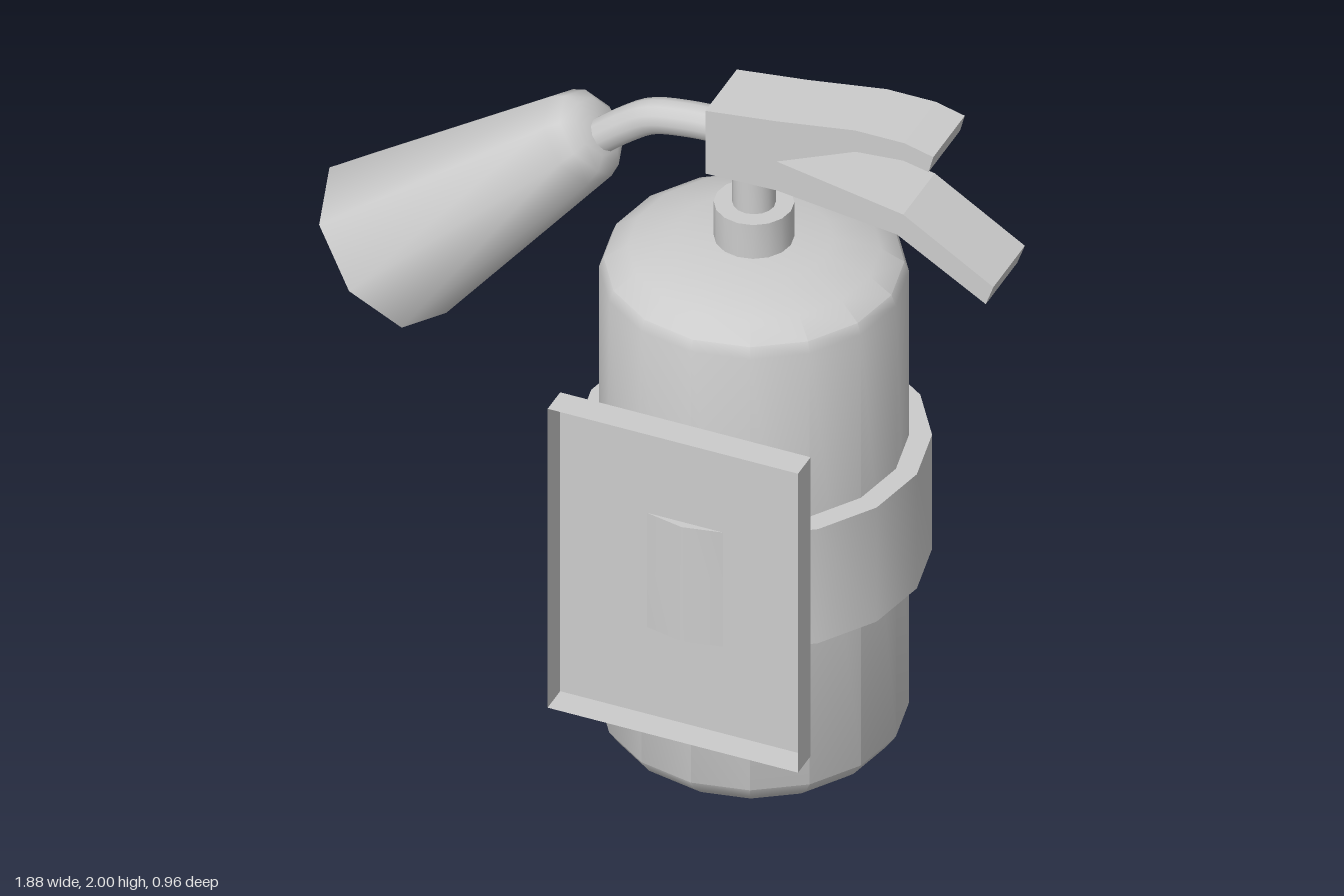
import * as THREE from 'three';
import { toCreasedNormals } from 'three/addons/utils/BufferGeometryUtils.js';

const CX = 0.231, CZ = -0.026; // axis of the cylinder

export function createModel() {
  const model = new THREE.Group();
  const material = new THREE.MeshStandardMaterial({ color: 0xcccccc });
  const thin = new THREE.MeshStandardMaterial({ color: 0xcccccc, side: THREE.DoubleSide });

  const add = (name, geometry, x, y, z, mat = material) => {
    const mesh = new THREE.Mesh(geometry, mat);
    mesh.name = name;
    mesh.position.set(x, y, z);
    model.add(mesh);
    return mesh;
  };
  const lathe = (points, sides, crease) => toCreasedNormals(
    new THREE.LatheGeometry(points.map(([r, y]) => new THREE.Vector2(r, y)), sides), crease);

  // Tank with a rounded foot and a shallow dome
  add('tank', lathe([
    [0, 0], [0.33, 0], [0.365, 0.03], [0.392, 0.07], [0.392, 1.41], [0.38, 1.44],
    [0.32, 1.48], [0.2, 1.51], [0, 1.52],
  ], 16, 0.65), CX, 0, CZ);

  // Strap ring around the tank
  add('strap', lathe([
    [0.385, 0.903], [0.385, 0.548], [0.45, 0.548], [0.45, 0.903], [0.385, 0.903],
  ], 16, 0.65), CX, 0, CZ);

  // Neck collar and valve stem
  add('collar', lathe([[0, 1.49], [0.102, 1.49], [0.102, 1.62], [0, 1.62]], 16, 0.65), CX, 0, CZ);
  add('stem', lathe([[0, 1.6], [0.055, 1.6], [0.055, 1.76], [0, 1.76]], 16, 0.65), CX, 0, CZ);

  // Shallow tray, open at the front
  const tray = new THREE.BoxGeometry(0.692, 0.93, 0.078);
  const open = tray.groups[4]; // the +z face
  tray.setIndex(Array.from(tray.index.array).filter(
    (_, i) => i < open.start || i >= open.start + open.count));
  tray.clearGroups();
  add('frontTray', tray, 0.232, 0.743, 0.442, thin);

  // Valve block with the two squeeze levers
  const outline = new THREE.Shape([
    [0.14, 1.745], [0.337, 1.75], [0.67, 1.71], [0.915, 1.565], [0.936, 1.624],
    [0.687, 1.777], [0.337, 1.84], [0.555, 1.934], [0.687, 1.945], [0.757, 1.93],
    [0.77, 1.98], [0.69, 2.0], [0.555, 2.0], [0.337, 1.965], [0.14, 1.94],
  ].map(([x, y]) => new THREE.Vector2(x, y)));
  add('levers', new THREE.ExtrudeGeometry(outline, { depth: 0.196, bevelEnabled: false }),
    0, 0, CZ - 0.098);

  // Bent hose from the valve to the horn
  const path = new THREE.CatmullRomCurve3([
    [0.16, 1.832], [0.05, 1.825], [-0.05, 1.805], [-0.12, 1.76], [-0.2, 1.695],
  ].map(([x, y]) => new THREE.Vector3(x, y, 0)));
  add('hose', new THREE.TubeGeometry(path, 16, 0.047, 12), 0, 0, CZ, thin);

  // Hollow discharge horn, wide end down
  const horn = add('horn', lathe([
    [0, 0.7], [0.105, 0.68], [0.222, 0], [0.241, 0], [0.13, 0.715],
    [0.113, 0.757], [0.08, 0.782], [0, 0.785],
  ], 8, 0.9), -0.781, 1.204, CZ);
  horn.rotation.z = -0.838;

  return model;
}
